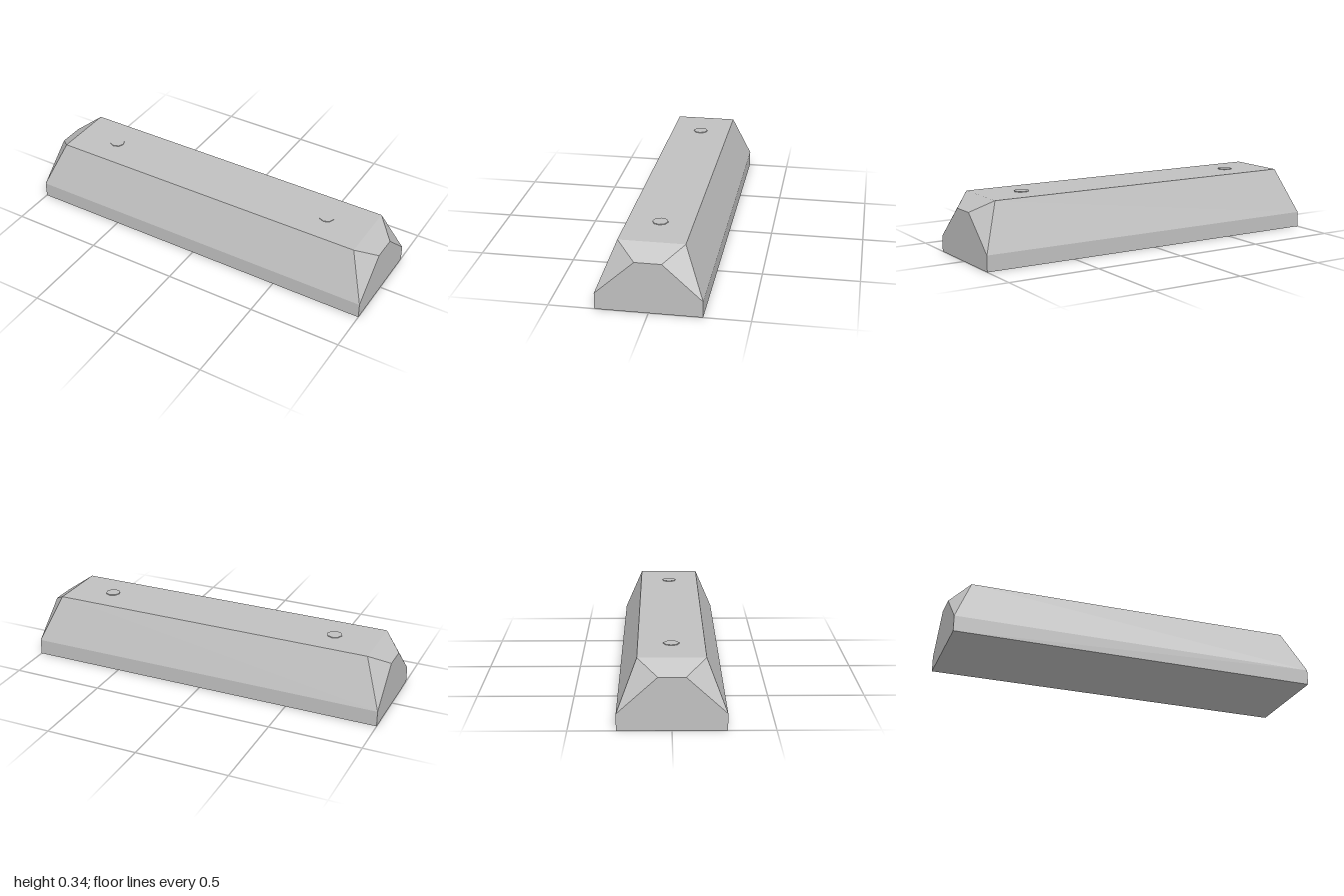
import * as THREE from 'three';
import { ConvexGeometry } from 'three/addons/geometries/ConvexGeometry.js';

export function createModel() {
  const model = new THREE.Group();
  model.name = 'parkingStop';
  const concrete = new THREE.MeshStandardMaterial({ color: 0xc0c0c0, flatShading: true });
  concrete.name = 'concrete grey';

  // Block with sloped sides and chamfered ends: one corner mirrored four ways
  const corner = [[1, 0, 0.267], [1, 0.085, 0.267], [1, 0.267, 0.067], [0.9, 0.333, 0.167]];
  const points = [];
  for (const sx of [-1, 1]) {
    for (const sz of [-1, 1]) {
      for (const [x, y, z] of corner) points.push(new THREE.Vector3(sx * x, y, sz * z));
    }
  }
  const block = new THREE.Mesh(new ConvexGeometry(points), concrete);
  block.name = 'block';
  model.add(block);

  // Octagonal anchor bolt heads on the top
  const boltGeometry = new THREE.CylinderGeometry(0.04, 0.04, 0.008, 8);
  for (const side of [-1, 1]) {
    const bolt = new THREE.Mesh(boltGeometry, concrete);
    bolt.name = side > 0 ? 'leftBolt' : 'rightBolt';
    bolt.position.set(side * 0.665, 0.333, 0);
    model.add(bolt);
  }
  return model;
}
